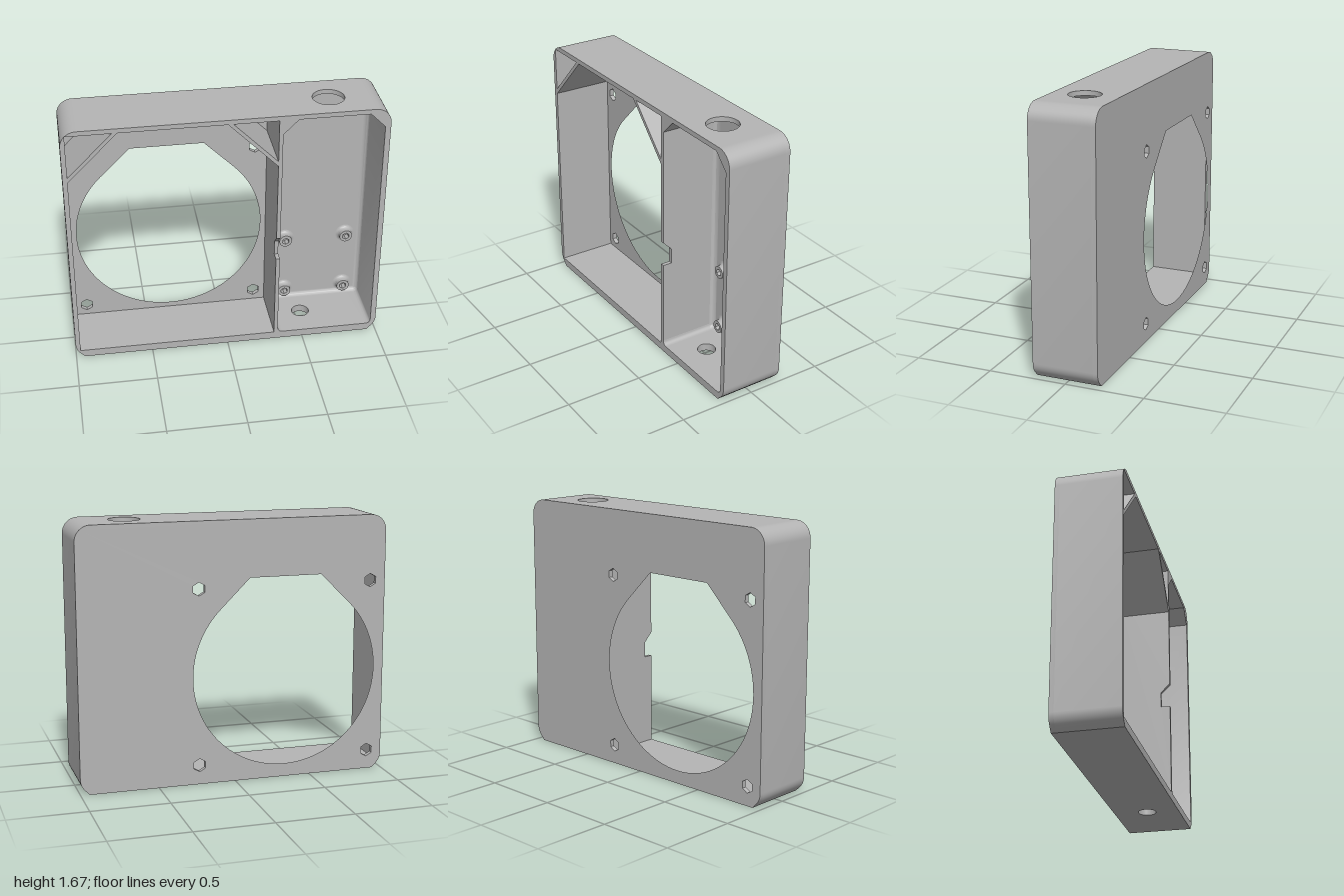
import * as THREE from 'three';
import { toCreasedNormals } from 'three/addons/utils/BufferGeometryUtils.js';

const BACK = -0.21, FLOOR = -0.18, FRONT = 0.21, TOP = 1.675;
const PI = Math.PI;
const V = (x, y) => new THREE.Vector2(x, y);
const poly = (pts) => new THREE.Shape(pts.map(([x, y]) => V(x, y)));
const disc = (x, y, r, n = 48) => new THREE.Shape(
  Array.from({ length: n }, (_, i) => {
    const a = PI / 2 + (i / n) * PI * 2;
    return V(x + r * Math.cos(a), y + r * Math.sin(a));
  }));
// points of a circular arc
const arc = (cx, cy, r, a0, a1, n = 12) => Array.from({ length: n + 1 }, (_, i) => {
  const a = a0 + ((a1 - a0) * i) / n;
  return [cx + r * Math.cos(a), cy + r * Math.sin(a)];
});

export function createModel() {
  const group = new THREE.Group();
  const grey = new THREE.MeshStandardMaterial({ color: 0xb4b4b4 });
  grey.name = 'plain grey';

  const add = (name, geo) => {
    const mesh = new THREE.Mesh(toCreasedNormals(geo, 0.5), grey);
    mesh.name = name;
    group.add(mesh);
    return mesh;
  };
  const extrude = (shape, z0, z1) => new THREE.ExtrudeGeometry(shape,
    { depth: z1 - z0, bevelEnabled: false, curveSegments: 24 }).translate(0, 0, z0);

  // Right half of the outline, top to bottom: round top corner, chamfered bottom corner
  const outerHalf = [
    ...arc(0.9, TOP - 0.1, 0.1, PI / 2, 0),
    ...arc(0.9, 0.1, 0.1, 0, -PI / 4, 6),
    [0.942, 0],
  ];
  const mirror = (pts) => pts.map(([x, y]) => [-x, y]);

  // Back plate with the large flat-topped opening and four hexagonal holes
  const plate = poly([...outerHalf, ...mirror(outerHalf).reverse()]);
  plate.holes.push(poly([
    ...arc(-0.33, 0.69, 0.605, PI / 4, -PI * 1.25, 72),
    [-0.565, 1.31], [-0.095, 1.31],
  ]));
  for (const x of [-0.9, 0.235]) {
    for (const y of [0.125, 1.255]) plate.holes.push(disc(x, y, 0.043, 6));
  }
  add('backPlate', extrude(plate, BACK, FLOOR));

  // Side walls
  const xs = 0.86;
  add('leftWall', extrude(poly([
    [xs, TOP], ...outerHalf, [xs, 0], [xs, 0.05],
    ...arc(0.935, 0.08, 0.03, -PI / 2, 0, 6),
    [0.965, 1.55], [0.87, 1.645], [xs, 1.645],
  ]), FLOOR, FRONT));
  add('rightWall', extrude(poly(mirror([
    [xs, TOP], ...outerHalf, [xs, 0], [xs, 0.05],
    [0.97, 0.05], [0.97, 1.645], [xs, 1.645],
  ])), FLOOR, FRONT));

  // Top and bottom walls, each with a round cable hole
  const slab = (name, y0, y1, hx, hz, r) => {
    const s = poly([[-xs, -FRONT], [xs, -FRONT], [xs, -FLOOR], [-xs, -FLOOR]]);
    s.holes.push(disc(hx, -hz, r));
    add(name, extrude(s, y0, y1).rotateX(-PI / 2));
  };
  slab('topWall', 1.645, TOP, 0.65, 0.01, 0.1);
  slab('bottomWall', 0, 0.05, 0.528, 0.005, 0.058);

  // Divider with a wire notch in its front edge
  add('divider', extrude(poly([
    [-FRONT, 0.05], [-FLOOR, 0.05], [-FLOOR, 1.645], [-FRONT, 1.645],
    [-FRONT, 0.8], [-0.15, 0.74], [-0.15, 0.64], [-FRONT, 0.64],
  ]), 0.31, 0.335).rotateY(PI / 2));
  add('dividerTopGusset', extrude(
    poly([[0.335, 1.55], [0.43, 1.645], [0.335, 1.645]]), FLOOR, FRONT));
  add('dividerBottomFillet', extrude(
    poly([[0.335, 0.05], ...arc(0.365, 0.08, 0.03, -PI / 2, -PI, 6)]), FLOOR, FRONT));

  // Diagonal braces across the upper corners of the large bay
  add('rightBrace', extrude(
    poly([[-0.97, 1.33], [-0.66, 1.645], [-0.692, 1.645], [-0.97, 1.363]]), FLOOR, FRONT));
  add('leftBrace', extrude(
    poly([[0.31, 1.33], [0, 1.645], [0.032, 1.645], [0.31, 1.363]]), FLOOR, FRONT));

  // Fillet between the walls and floor of the narrow bay
  const R = 0.03;
  const bayLoop = (d) => {
    const k = d * Math.tan(PI / 8);
    return [
      ...arc(0.365, 0.08, R - d, -PI, -PI / 2, 6),
      ...arc(0.935, 0.08, R - d, -PI / 2, 0, 6),
      [0.965 - d, 1.55 - k], [0.87 - k, 1.645 - d],
      [0.43 + k, 1.645 - d], [0.335 + d, 1.55 - k],
    ];
  };
  const pos = [], index = [], steps = 8;
  for (let j = 0; j <= steps; j++) {
    const a = (j / steps) * PI / 2;
    const loop = bayLoop(R * (1 - Math.cos(a)));
    const n = loop.length;
    loop.forEach(([x, y], i) => {
      pos.push(x, y, FLOOR + R * (1 - Math.sin(a)));
      if (j === steps) return;
      const p = j * n + i, q = j * n + ((i + 1) % n);
      index.push(p, q, p + n, q, q + n, p + n);
    });
  }
  const fillet = new THREE.BufferGeometry();
  fillet.setAttribute('position', new THREE.Float32BufferAttribute(pos, 3));
  fillet.setIndex(index);
  add('bayFloorFillet', fillet);

  // Standoffs with blind hexagonal sockets and a flared base
  const flare = arc(0.064, 0.022, 0.022, -PI / 2, -PI, 6).map(([x, y]) => V(x, y));
  for (const x of [0.445, 0.855]) {
    for (const y of [0.122, 0.532]) {
      const post = disc(x, y, 0.042, 32);
      post.holes.push(disc(x, y, 0.024, 6));
      add('standoff', extrude(post, FLOOR, FLOOR + 0.045));
      add('standoffBase', new THREE.LatheGeometry(flare, 32)
        .rotateX(PI / 2).translate(x, y, FLOOR));
    }
  }
  return group;
}
